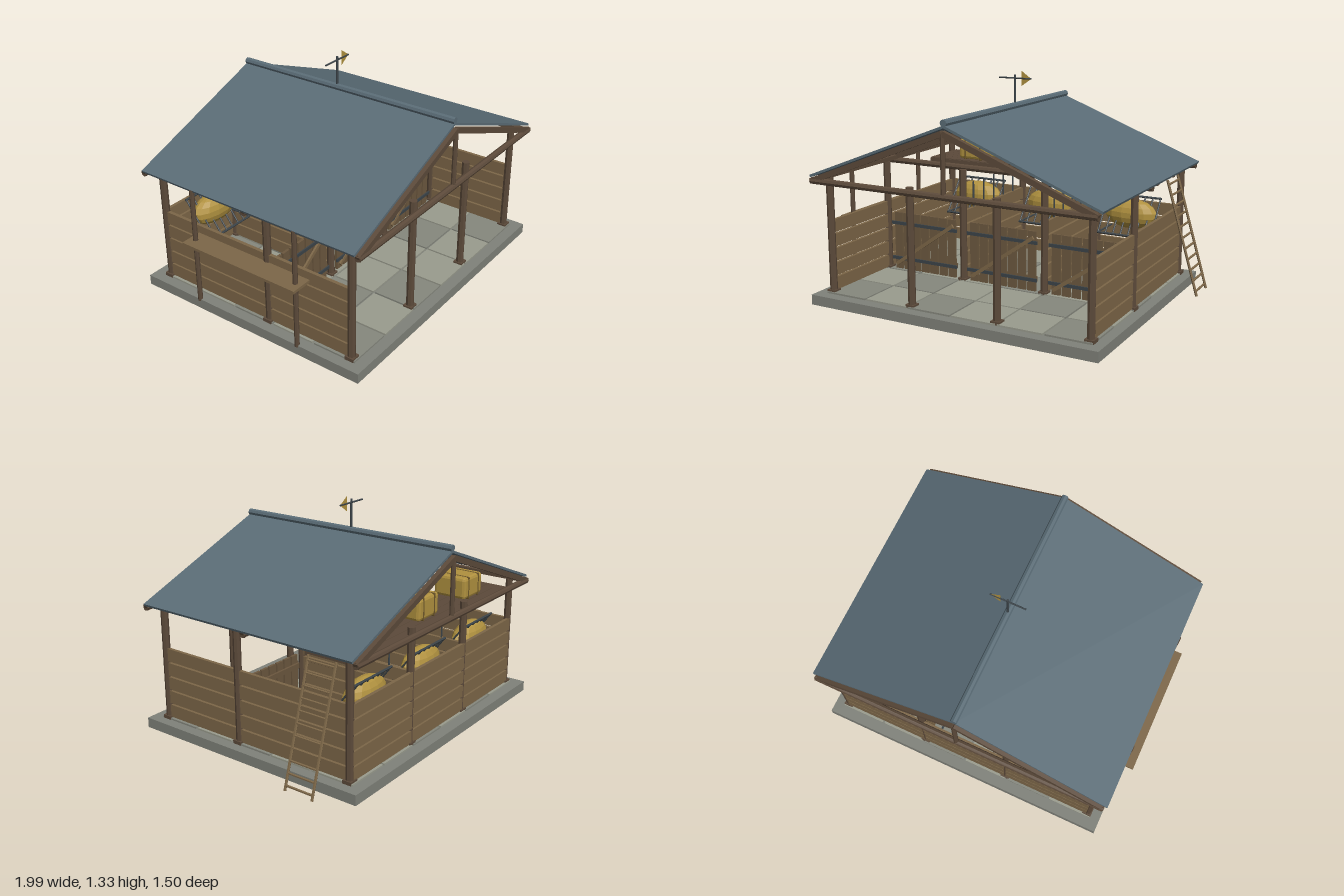
import * as THREE from 'three';
import { RoundedBoxGeometry } from 'three/addons/geometries/RoundedBoxGeometry.js';

const CX = -0.04; // ridge line
const mat = (color, extra = {}) => new THREE.MeshStandardMaterial({ color, flatShading: true, ...extra });
const M = {
  stone: mat(0x80827a), tileA: mat(0x9a9c8e), tileB: mat(0x86887e),
  timber: mat(0x5c4a3a), plank: mat(0x7d6748), gate: mat(0x6c583f),
  roof: mat(0x5a6c76), metal: mat(0x3c4449), hay: mat(0xb0913f),
  strap: mat(0x6b5528), vane: mat(0xb0913f, { side: THREE.DoubleSide }),
};

export function createModel() {
  const root = new THREE.Group();
  root.name = 'stable';

  const group = (name, parent = root) => {
    const g = new THREE.Group();
    g.name = name;
    parent.add(g);
    return g;
  };
  const add = (name, geo, m, x, y, z, parent = root) => {
    const mesh = new THREE.Mesh(geo, m);
    mesh.name = name;
    mesh.position.set(x, y, z);
    parent.add(mesh);
    return mesh;
  };
  const box = (name, w, h, d, m, x, y, z, parent) =>
    add(name, new THREE.BoxGeometry(w, h, d), m, x, y, z, parent);
  // round bar between two points
  const rod = (name, a, b, r, m, parent, sides = 6) => {
    const p = new THREE.Vector3(...a), q = new THREE.Vector3(...b);
    const dir = q.clone().sub(p), mid = p.clone().add(q).multiplyScalar(0.5);
    const mesh = add(name, new THREE.CylinderGeometry(r, r, dir.length(), sides), m, mid.x, mid.y, mid.z, parent);
    mesh.quaternion.setFromUnitVectors(new THREE.Vector3(0, 1, 0), dir.normalize());
    return mesh;
  };
  // rectangular beam in the xy plane, depth along z
  const beam = (name, x1, y1, x2, y2, t, depth, z, m, parent) => {
    const mesh = box(name, Math.hypot(x2 - x1, y2 - y1), t, depth, m, (x1 + x2) / 2, (y1 + y2) / 2, z, parent);
    mesh.rotation.z = Math.atan2(y2 - y1, x2 - x1);
    return mesh;
  };

  // Plinth and paved floor
  box('plinth', 1.81, 0.06, 1.5, M.stone, CX, 0.03, 0);
  const floor = group('floorTiles');
  const nx = 6, nz = 5, tw = 1.7 / nx, td = 1.38 / nz;
  for (let i = 0; i < nx; i++)
    for (let j = 0; j < nz; j++)
      box('tile', tw - 0.012, 0.012, td - 0.012, (i * 3 + j * 2) % 5 < 3 ? M.tileA : M.tileB,
        CX + (i - (nx - 1) / 2) * tw, 0.064, (j - (nz - 1) / 2) * td, floor);

  // Posts in three rows
  const postX = [-0.86, -0.31, 0.235, 0.78];
  const posts = group('posts');
  for (const x of postX)
    for (const z of [0.65, 0.1, -0.65]) {
      rod('post', [x, 0.06, z], [x, 0.745, z], 0.022, M.timber, posts, 8);
      box('postFoot', 0.055, 0.02, 0.055, M.timber, x, 0.07, z, posts);
    }

  // Plank walls on both sides and the back
  const walls = group('plankWalls');
  for (let i = 0; i < 5; i++) {
    const y = 0.11 + i * 0.0865;
    for (const x of [-0.86, 0.78]) {
      box('sidePlank', 0.02, 0.076, 0.55, M.plank, x, y, 0.375, walls);
      box('sidePlank', 0.02, 0.076, 0.75, M.plank, x, y, -0.275, walls);
    }
    box('backPlank', 1.64, 0.076, 0.02, M.plank, CX, y, -0.66, walls);
  }

  // Stall partitions topped with bars
  for (const x of [-0.31, 0.235]) {
    const p = group('stallPartition');
    for (let i = 0; i < 5; i++)
      box('partitionPlank', 0.02, 0.076, 0.73, M.plank, x, 0.11 + i * 0.0865, -0.275, p);
    for (let i = 0; i < 5; i++) {
      const z = -0.02 - i * 0.1225;
      rod('partitionBar', [x, 0.48, z], [x, 0.65, z], 0.005, M.metal, p);
    }
  }

  // Three stalls: gate, hay rack, and bale on the loft above
  [-0.585, -0.04, 0.505].forEach((x) => {
    const gate = group('stallGate');
    gate.position.set(x, 0, 0.1);
    for (let i = 0; i < 7; i++)
      box('gatePlank', 0.052, 0.36, 0.016, M.gate, (i - 3) * 0.0645, 0.25, 0, gate);
    for (const y of [0.14, 0.365]) {
      box('gateStrap', 0.47, 0.02, 0.008, M.metal, 0, y, 0.016, gate);
      box('gateRail', 0.44, 0.03, 0.014, M.gate, 0, y, -0.014, gate);
    }
    beam('gateBrace', -0.205, 0.1, 0.21, 0.395, 0.022, 0.012, 0.018, M.plank, gate);

    const rack = group('hayRack');
    rack.position.x = x;
    for (let i = 0; i < 8; i++) {
      const bx = (i - 3.5) * 0.049;
      rod('rackBar', [bx, 0.32, -0.43], [bx, 0.535, -0.59], 0.005, M.metal, rack);
    }
    rod('rackTopRail', [-0.178, 0.535, -0.59], [0.178, 0.535, -0.59], 0.007, M.metal, rack);
    rod('rackBottomRail', [-0.178, 0.32, -0.43], [0.178, 0.32, -0.43], 0.007, M.metal, rack);
    for (const s of [-1, 1])
      rod('rackBracket', [s * 0.172, 0.32, -0.43], [s * 0.172, 0.32, -0.65], 0.006, M.metal, rack);
    add('hay', new THREE.SphereGeometry(1, 14, 9), M.hay, 0, 0.435, -0.54, rack).scale.set(0.17, 0.093, 0.075);

    const bale = group('hayBale');
    bale.position.set(x + (x < -0.1 ? 0.055 : x > 0.1 ? -0.055 : 0), 0.768, -0.48);
    add('bale', new RoundedBoxGeometry(0.205, 0.13, 0.21, 1, 0.018), M.hay, 0, 0, 0, bale);
    for (const s of [-1, 1])
      add('baleStrap', new RoundedBoxGeometry(0.01, 0.136, 0.216, 1, 0.004), M.strap, s * 0.055, 0, 0, bale);
  });

  // Hay loft across the back
  const loft = group('loft');
  for (let i = 0; i < 5; i++)
    box('loftBoard', 1.575, 0.018, 0.06, M.timber, CX, 0.692, -0.375 - i * 0.062, loft);
  for (const z of [-0.35, -0.62])
    box('loftBeam', 1.575, 0.025, 0.025, M.timber, CX, 0.685, z, loft);

  // Roof trusses
  for (const z of [-0.73, 0, 0.73]) {
    const t = group('truss');
    rod('tieBeam', [CX - 0.885, 0.735, z], [CX + 0.885, 0.735, z], 0.019, M.timber, t, 8);
    rod('kingPost', [CX, 0.745, z], [CX, 1.07, z], 0.014, M.timber, t, 8);
    for (const s of [-1, 1])
      beam('rafter', CX + s * 0.885, 0.733, CX, 1.073, 0.032, 0.026, z, M.timber, t);
  }
  for (const x of [-0.86, 0.78])
    box('wallPlate', 0.03, 0.025, 1.44, M.timber, x, 0.757, 0);

  // Roof slopes and ridge cap
  for (const s of [-1, 1])
    beam('roofSlope', CX + s * 0.903, 0.757, CX, 1.106, 0.014, 1.445, 0, M.roof);
  rod('ridgeCap', [CX, 1.125, -0.723], [CX, 1.125, 0.723], 0.02, M.roof, root, 8);

  // Weather vane
  const vane = group('weatherVane');
  vane.position.set(CX, 0, -0.05);
  rod('vanePole', [0, 1.11, 0], [0, 1.305, 0], 0.007, M.metal, vane, 8);
  rod('vaneArm', [-0.105, 1.285, 0], [0.105, 1.285, 0], 0.005, M.metal, vane);
  const fin = new THREE.Shape([[0, -0.045], [0.065, 0], [0, 0.045]].map((p) => new THREE.Vector2(...p)));
  add('vaneFin', new THREE.ShapeGeometry(fin), M.vane, 0.042, 1.285, 0, vane);

  // Counter on the left-hand end with its two posts
  const counter = group('counter');
  box('counterTop', 0.135, 0.016, 0.78, M.plank, -0.9325, 0.44, 0, counter);
  for (const z of [-0.35, 0.35])
    rod('counterPost', [-0.937, 0.05, z], [-0.937, 0.762, z], 0.014, M.timber, counter, 8);

  // Ladder leaning on the loft
  const ladder = group('ladder');
  for (const z of [-0.395, -0.57])
    rod('ladderRail', [0.988, 0.022, z], [0.785, 0.7, z], 0.008, M.plank, ladder);
  for (let i = 0; i < 11; i++) {
    const k = 0.04 + i * 0.092;
    const x = 0.988 - 0.203 * k, y = 0.022 + 0.678 * k;
    rod('ladderRung', [x, y, -0.395], [x, y, -0.57], 0.007, M.plank, ladder);
  }

  return root;
}
